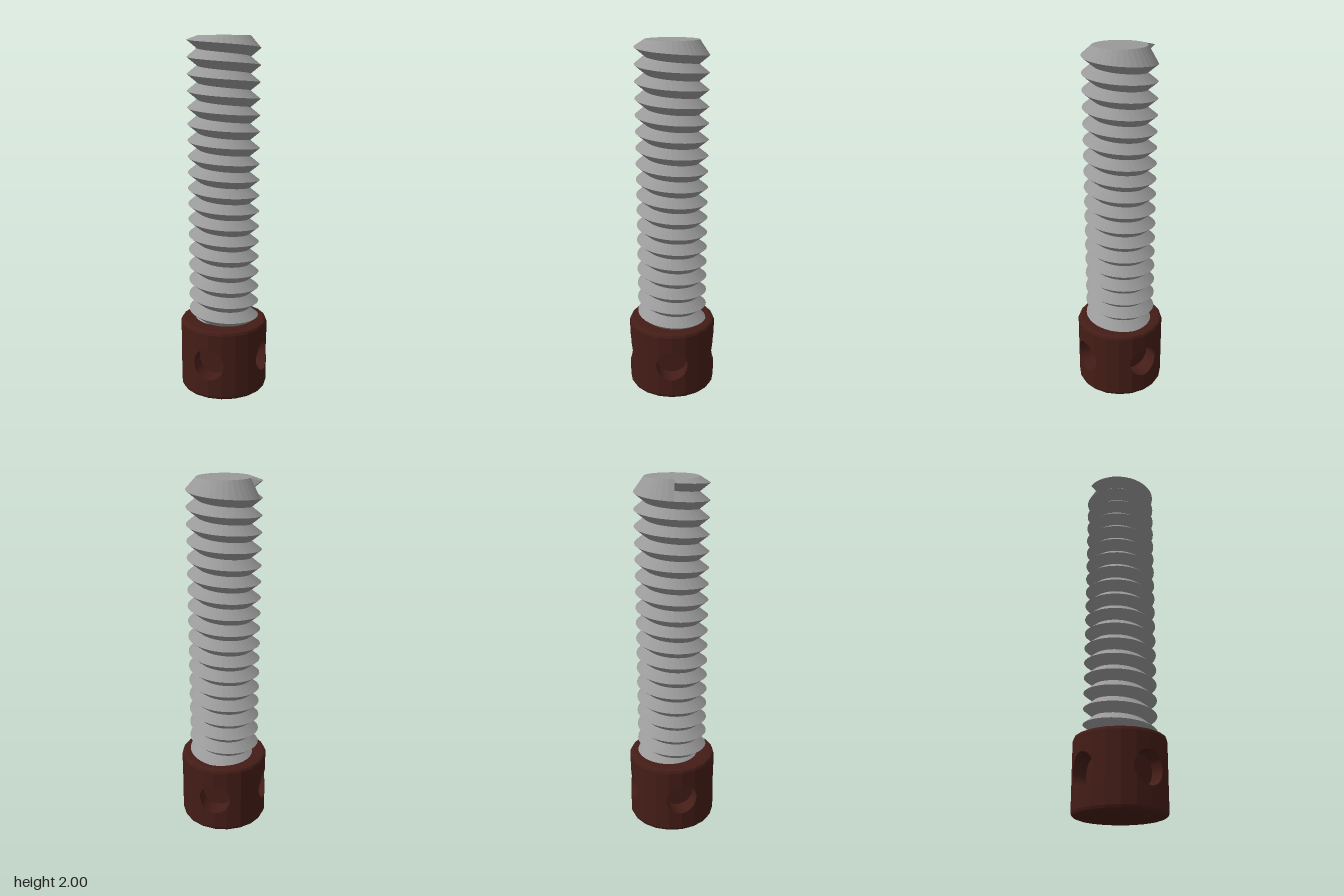
import * as THREE from 'three';

const V = (x, y, z) => new THREE.Vector3(x, y, z);

// Collects quads (top left, bottom left, bottom right, top right) as flat triangles
function quadMesh(name, material, fill) {
  const pos = [];
  const tri = (...pts) => pts.forEach((p) => pos.push(p.x, p.y, p.z));
  fill((a, b, c, d) => { tri(a, b, c); tri(a, c, d); }, tri);
  const geo = new THREE.BufferGeometry();
  geo.setAttribute('position', new THREE.Float32BufferAttribute(pos, 3));
  geo.computeVertexNormals();
  const mesh = new THREE.Mesh(geo, material);
  mesh.name = name;
  return mesh;
}

// ---- Head: 20-sided drum with four blind round holes ----
const SIDES = 20, HEAD_R = 0.25, HEAD_TOP = 0.41, BEVEL = 0.02;
const HOLE_R = 0.09, HOLE_Y = 0.21, HOLE_FLOOR = 0.15;
const corner = (k) => [HEAD_R * Math.sin(k * 2 * Math.PI / SIDES), HEAD_R * Math.cos(k * 2 * Math.PI / SIDES)];

// Depth of the faceted wall at a sideways position
function wallZ(x) {
  const ax = Math.abs(x);
  let k = 0;
  while (k < 2 && ax > corner(k + 1)[0]) k++;
  const [x0, z0] = corner(k), [x1, z1] = corner(k + 1);
  return z0 + (z1 - z0) * (ax - x0) / (x1 - x0);
}

// One quarter of the wall, built in columns above and below the hole
function headQuarter(material) {
  const half = (corner(2)[0] + corner(3)[0]) / 2;
  const stops = [-half, half];
  for (const k of [1, 2]) stops.push(-corner(k)[0], corner(k)[0]);
  for (let i = 0; i <= 16; i++) stops.push(-HOLE_R * Math.cos(i * Math.PI / 16));
  stops.sort((a, b) => a - b);
  const rise = (x) => Math.sqrt(Math.max(0, HOLE_R * HOLE_R - x * x));

  return quadMesh('headWall', material, (quad) => {
    for (let i = 0; i < stops.length - 1; i++) {
      const a = stops[i], b = stops[i + 1];
      const za = wallZ(a), zb = wallZ(b), ra = rise(a), rb = rise(b);
      const top = HEAD_TOP - BEVEL, f = HOLE_FLOOR;
      const ua = HOLE_Y + ra, ub = HOLE_Y + rb, la = HOLE_Y - ra, lb = HOLE_Y - rb;
      quad(V(a, top, za), V(a, ua, za), V(b, ub, zb), V(b, top, zb));
      quad(V(a, la, za), V(a, BEVEL, za), V(b, BEVEL, zb), V(b, lb, zb));
      if (ra + rb < 1e-6) continue;
      // hole sides and floor
      quad(V(a, ua, za), V(a, ua, f), V(b, ub, f), V(b, ub, zb));
      quad(V(a, la, f), V(a, la, za), V(b, lb, zb), V(b, lb, f));
      quad(V(a, ua, f), V(a, la, f), V(b, lb, f), V(b, ub, f));
    }
  });
}

function headEnd(name, material, profile) {
  const mesh = new THREE.Mesh(
    new THREE.LatheGeometry(profile.map(([r, y]) => new THREE.Vector2(r, y)), SIDES), material);
  mesh.name = name;
  return mesh;
}

// ---- Threaded shaft ----
const TOP = 2, CREST = 0.2, ROOT = 0.145, PITCH = 0.0889, FIRST = 1.988;
const SEG = 36, TURNS = 18, START = Math.PI * 1.055;
const SHAFT_END = 0.36; // sunk inside the head, above the holes

function thread(material) {
  const at = (r, y, t) => {
    const a = START - t * 2 * Math.PI;
    return V(r * Math.cos(a), Math.max(y, SHAFT_END), r * Math.sin(a));
  };
  // row 0 is the level rim of the tip, then crest and root alternate downwards
  const point = (j, i) => {
    const t = i / SEG;
    if (j === 0) return at(ROOT, TOP, t);
    return at(j % 2 ? CREST : ROOT, FIRST - PITCH * ((j - 1) / 2 + t), t);
  };
  return quadMesh('thread', material, (quad, tri) => {
    for (let i = 0; i < SEG; i++) {
      for (let j = 0; j < TURNS * 2 + 2; j++) {
        quad(point(j, i), point(j + 1, i), point(j + 1, i + 1), point(j, i + 1));
      }
      tri(V(0, TOP, 0), point(0, i), point(0, i + 1));
    }
    // small step where the thread runs out at the tip
    const cross = at(0.1666, 1.9615, 0);
    tri(point(0, 0), point(1, 0), cross);
    tri(cross, point(2, 0), point(3, 0));
  });
}

export function createModel() {
  const model = new THREE.Group();
  model.name = 'screw';
  const grey = new THREE.MeshStandardMaterial({ color: 0x999999, flatShading: true, side: THREE.DoubleSide });
  const brown = new THREE.MeshStandardMaterial({ color: 0x441d17, flatShading: true });

  const head = new THREE.Group();
  head.name = 'head';
  for (let q = 0; q < 4; q++) {
    const wall = headQuarter(brown);
    wall.rotation.y = q * Math.PI / 2;
    head.add(wall);
  }
  const rim = [[HEAD_R, BEVEL], [0.244, 0.006], [0.23, 0], [0, 0]];
  head.add(headEnd('headBottom', brown, [...rim].reverse()));
  head.add(headEnd('headTop', brown, rim.map(([r, y]) => [r, HEAD_TOP - y])));

  model.add(head, thread(grey));
  return model;
}
